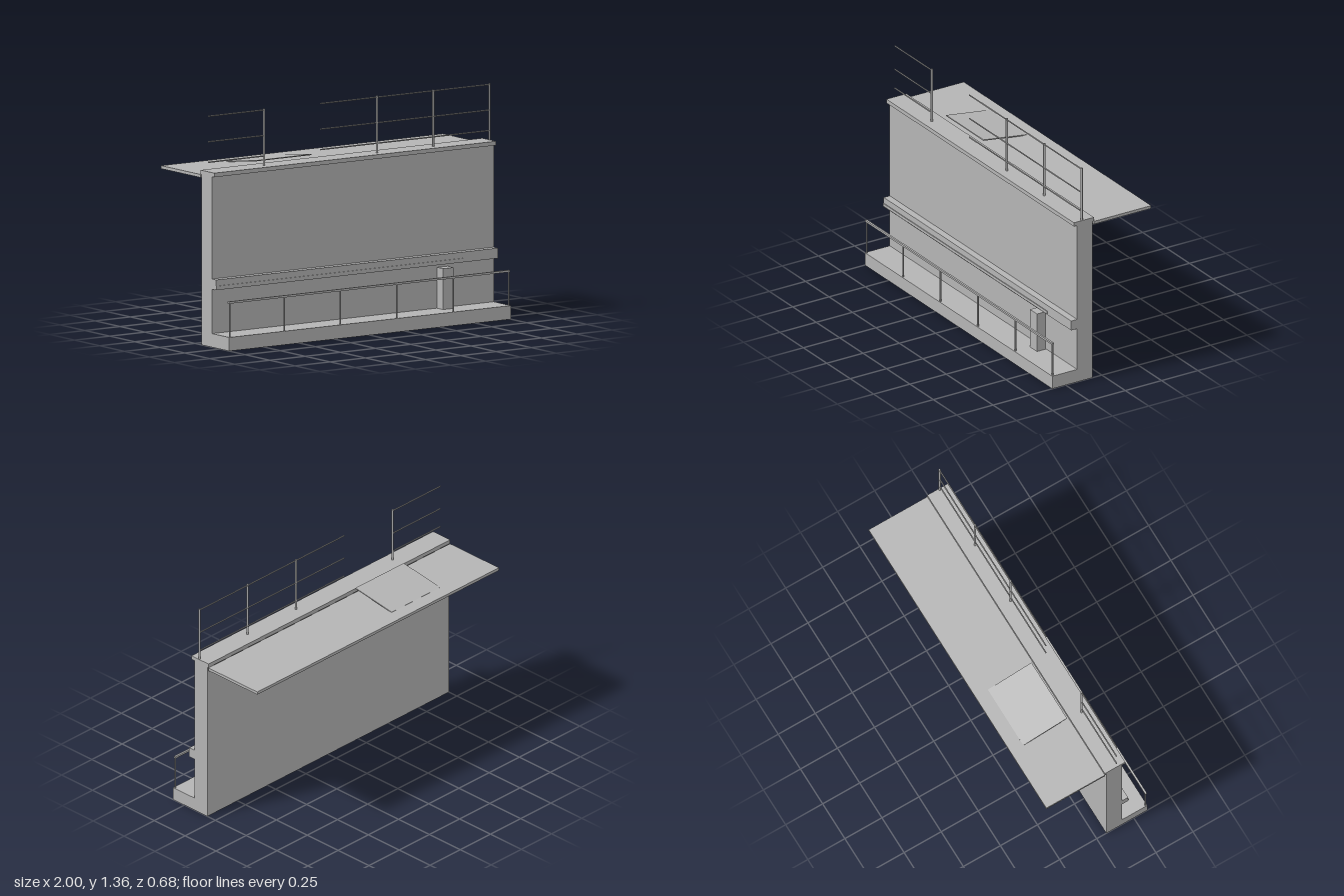
import * as THREE from 'three';

export function createModel() {
  const model = new THREE.Group();
  model.name = 'barrierWall';
  const concrete = new THREE.MeshStandardMaterial({ color: 0xb4b4b4 });
  concrete.name = 'concrete grey';

  // Box given by its minimum and maximum on each axis
  function box(name, [x0, x1], [y0, y1], [z0, z1], parent = model) {
    const mesh = new THREE.Mesh(new THREE.BoxGeometry(x1 - x0, y1 - y0, z1 - z0), concrete);
    mesh.position.set((x0 + x1) / 2, (y0 + y1) / 2, (z0 + z1) / 2);
    mesh.name = name;
    parent.add(mesh);
    return mesh;
  }

  // Round bar, upright or along x
  function bar(name, radius, length, x, y, z, alongX, parent) {
    const mesh = new THREE.Mesh(new THREE.CylinderGeometry(radius, radius, length, 10), concrete);
    if (alongX) mesh.rotation.z = Math.PI / 2;
    mesh.position.set(x, y, z);
    mesh.name = name;
    parent.add(mesh);
  }

  const full = [-1, 1];

  // Wall, footing, coping and rear deck
  box('wall', full, [0.08, 1.0], [0.065, 0.17]);
  box('footing', full, [0, 0.08], [0.065, 0.342]);
  box('coping', full, [1.0, 1.024], [0.055, 0.193]);
  box('deck', full, [0.98, 0.998], [-0.34, 0.056]);

  // Ledge along the front of the wall
  box('ledge', full, [0.34, 0.4], [0.17, 0.212]);
  box('ledgeTrim', [-1, 0.75], [0.346, 0.364], [0.212, 0.217]);

  // Cabinet standing on the footing
  box('cabinet', [0.595, 0.67], [0.08, 0.32], [0.175, 0.234]);

  // Hatch leaf hinged at the rear and raised toward the wall
  const hatch = new THREE.Group();
  hatch.name = 'hatch';
  hatch.position.set(-0.4, 0.996, -0.255);
  hatch.rotation.x = -Math.atan2(0.042, 0.295);
  box('hatchLeaf', [-0.2, 0.2], [-0.003, 0.003], [0, 0.298], hatch);
  model.add(hatch);

  // Upper guard rail with an opening in front of the hatch
  const upper = new THREE.Group();
  upper.name = 'upperRailing';
  model.add(upper);
  for (const x of [-0.605, 0.195, 0.595, 0.993])
    bar('upperPost', 0.0065, 0.358, x, 1.179, 0.135, false, upper);
  for (const [x0, x1] of [[-1, -0.605], [-0.205, 0.993]])
    for (const y of [1.08, 1.2, 1.35])
      bar('upperRail', 0.004, x1 - x0, (x0 + x1) / 2, y, 0.135, true, upper);

  // Low guard rail along the front edge of the footing
  const lower = new THREE.Group();
  lower.name = 'lowerRailing';
  model.add(lower);
  for (const x of [-0.99, -0.603, -0.205, 0.195, 0.595, 0.99])
    bar('lowerPost', 0.005, 0.205, x, 0.1825, 0.334, false, lower);
  box('lowerRail', [-1, 0.995], [0.277, 0.289], [0.328, 0.34], lower);

  return model;
}
